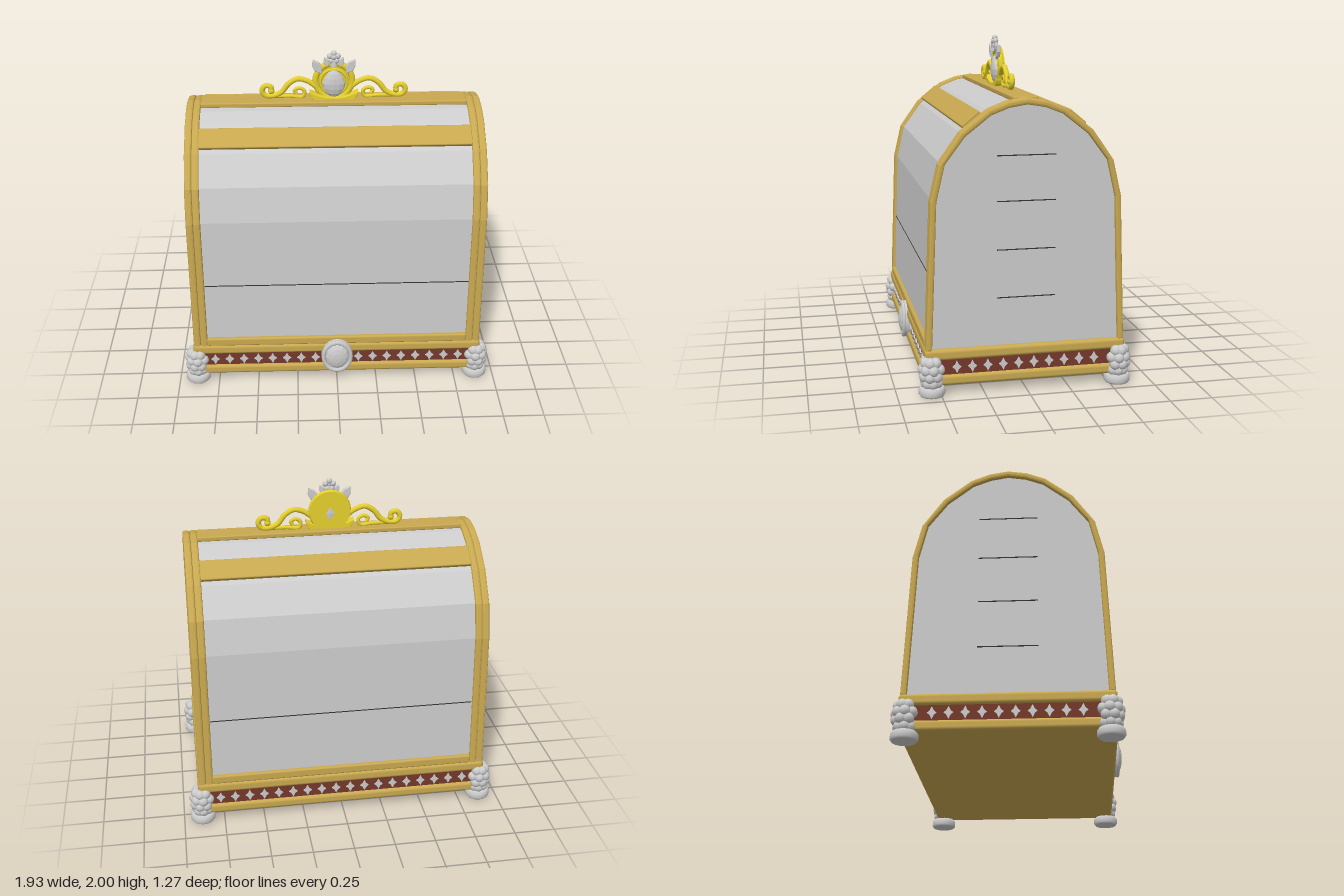
import * as THREE from 'three';
import { RoundedBoxGeometry } from 'three/addons/geometries/RoundedBoxGeometry.js';

const GREY = 0xcccccc, GOLD = 0xc8a850, YELLOW = 0xe6d02e, RED = 0x74382a, DARK = 0x333333;
const mat = (color, flatShading = false) =>
  new THREE.MeshStandardMaterial({ color, flatShading, side: THREE.DoubleSide });
const M = { grey: mat(GREY), facet: mat(GREY, true), gold: mat(GOLD, true), rail: mat(GOLD), yellow: mat(YELLOW), red: mat(RED), dark: mat(DARK) };

function add(parent, name, geo, material, x = 0, y = 0, z = 0) {
  const m = new THREE.Mesh(geo, material);
  m.name = name;
  m.position.set(x, y, z);
  parent.add(m);
  return m;
}

// Half of the domed outline as [z, y], pulled inward by d
const dome = (d) => [[0.585 - d, 0.26], [0.552 - d, 1.12], [0.503 - d, 1.33], [0.38 - d * 0.75, 1.505 - d * 0.65],
  [0.22 - d * 0.4, 1.63 - d * 0.9], [0.11 - d * 0.2, 1.673 - d], [0, 1.69 - d]];
function outline(d) {
  const half = dome(d);
  return [...half, ...half.slice(0, -1).reverse().map(([z, y]) => [-z, y])].map(([z, y]) => new THREE.Vector2(z, y));
}

// Extrude a z/y outline along x, centred on x = 0
function extrudeX(points, length, bevel = 0) {
  const geo = new THREE.ExtrudeGeometry(new THREE.Shape(points), {
    depth: length - 2 * bevel, bevelEnabled: bevel > 0, bevelSize: bevel, bevelThickness: bevel,
    bevelOffset: -bevel, bevelSegments: 2 });
  geo.translate(0, 0, -length / 2 + bevel);
  return geo.rotateY(Math.PI / 2);
}

function buildBody(root) {
  const body = new THREE.Group();
  body.name = 'body';
  root.add(body);
  add(body, 'domedPanels', extrudeX(outline(0.016), 1.75), M.facet);

  // Paired rounded arches at each end
  const arch = extrudeX([...outline(0), ...outline(0.036).reverse()], 0.044, 0.012);
  for (const x of [-0.877, -0.834, 0.834, 0.877]) add(body, 'endArch', arch, M.gold, x);

  // Long straps over the lid
  add(body, 'ridgeStrap', new RoundedBoxGeometry(1.63, 0.03, 0.145, 2, 0.008), M.rail, 0, 1.676, -0.005);
  for (const s of [-1, 1]) {
    const strap = add(body, 'lidStrap', new RoundedBoxGeometry(1.63, 0.03, 0.132, 2, 0.008), M.rail, 0, 1.566, s * 0.305);
    strap.rotation.x = s * 0.69;
    add(body, 'lowerRail', new RoundedBoxGeometry(1.63, 0.055, 0.05, 2, 0.012), M.rail, 0, 0.293, s * 0.564);
    const seam = add(body, 'panelSeam', new THREE.BoxGeometry(1.62, 0.006, 0.004), M.dark, 0, 0.69, s * 0.552);
    seam.rotation.x = -s * 0.04;
    for (const y of [0.55, 0.83, 1.11, 1.37])
      add(body, 'endSeam', new THREE.BoxGeometry(0.004, 0.006, 0.34), M.dark, s * 0.875, y);
  }
}

function buildBase(root) {
  const base = new THREE.Group();
  base.name = 'base';
  root.add(base);
  add(base, 'bottomRail', new RoundedBoxGeometry(1.81, 0.062, 1.185, 3, 0.02), M.rail, 0, 0.086);
  add(base, 'topRail', new RoundedBoxGeometry(1.81, 0.065, 1.185, 3, 0.02), M.rail, 0, 0.237);
  add(base, 'redBand', new THREE.BoxGeometry(1.775, 0.1, 1.15), M.red, 0, 0.16);

  // Four-pointed stars along the band
  const pts = [];
  for (let i = 0; i < 8; i++) {
    const a = i * Math.PI / 4, r = i % 2 ? 0.017 : (i % 4 ? 0.037 : 0.027);
    pts.push(new THREE.Vector2(r * Math.cos(a), r * Math.sin(a)));
  }
  const star = new THREE.ExtrudeGeometry(new THREE.Shape(pts), { depth: 0.008, bevelEnabled: false });
  for (let side = 0; side < 4; side++) {
    const long = side % 2 === 0, n = long ? 18 : 10;
    const row = new THREE.Group();
    row.name = 'starRow';
    row.rotation.y = side * Math.PI / 2;
    base.add(row);
    for (let i = 0; i < n; i++) {
      const x = (i - (n - 1) / 2) * 0.0905;
      if (side === 0 && Math.abs(x) < 0.08) continue;
      add(row, 'star', star, M.facet, x, 0.16, long ? 0.574 : 0.886);
    }
  }

  // Feet with bead clusters wrapped around the corners
  const footProfile = [[0, 0], [0.068, 0], [0.077, 0.012], [0.077, 0.04], [0.066, 0.054], [0, 0.056]];
  const foot = new THREE.LatheGeometry(footProfile.map(([r, y]) => new THREE.Vector2(r, y)), 18);
  const bead = new THREE.SphereGeometry(0.034, 10, 8);
  for (const sx of [-1, 1]) for (const sz of [-1, 1]) {
    const corner = new THREE.Group();
    corner.name = 'cornerFoot';
    corner.position.set(sx * 0.883, 0, sz * 0.552);
    base.add(corner);
    add(corner, 'footPad', foot, M.grey);
    for (let row = 0; row < 4; row++) {
      const n = row % 2 ? 4 : 5, r = [0.034, 0.045, 0.047, 0.036][row];
      for (let i = 0; i < n; i++) {
        const a = Math.PI / 4 + (i - (n - 1) / 2) * 0.88;
        add(corner, 'bead', bead, M.grey, sx * r * Math.cos(a), 0.078 + row * 0.04, sz * r * Math.sin(a));
      }
    }
  }
}

// Oval front plate with a raised rim and a faceted stone
function buildMedallion(root) {
  const medal = new THREE.Group();
  medal.name = 'frontMedallion';
  medal.position.set(0, 0.185, 0.58);
  medal.scale.set(1, 1.22, 1);
  root.add(medal);
  add(medal, 'plate', new THREE.CylinderGeometry(0.094, 0.1, 0.035, 24).rotateX(Math.PI / 2), M.grey, 0, 0, 0.012);
  add(medal, 'rim', new THREE.TorusGeometry(0.086, 0.013, 8, 24), M.grey, 0, 0, 0.03);
  add(medal, 'stone', new THREE.SphereGeometry(1, 12, 8).rotateX(Math.PI / 2).scale(0.076, 0.076, 0.033), M.facet, 0, 0, 0.027);
}

function tube(points, radius) {
  const curve = new THREE.CatmullRomCurve3(points.map(([x, y]) => new THREE.Vector3(x, y, 0)));
  return new THREE.TubeGeometry(curve, 40, radius, 8, false);
}

function buildCrest(root) {
  const crest = new THREE.Group();
  crest.name = 'crest';
  crest.position.z = -0.012;
  root.add(crest);

  // Round setting
  add(crest, 'settingDisc', new THREE.CylinderGeometry(0.125, 0.125, 0.025, 28).rotateX(Math.PI / 2), M.yellow, 0, 1.8, -0.012);
  add(crest, 'settingRing', new THREE.TorusGeometry(0.112, 0.02, 10, 32), M.yellow, 0, 1.8, -0.004);
  add(crest, 'innerRing', new THREE.TorusGeometry(0.082, 0.009, 8, 28), M.yellow, 0, 1.793, 0.006);

  // Pear-shaped stone, tapered toward the top
  const gem = new THREE.SphereGeometry(1, 12, 8);
  const p = gem.attributes.position;
  for (let i = 0; i < p.count; i++) {
    const t = Math.max(0, p.getY(i));
    p.setX(i, p.getX(i) * (1 - 0.35 * t));
  }
  gem.scale(0.072, 0.09, 0.034);
  gem.computeVertexNormals();
  add(crest, 'gem', gem, M.facet, 0, 1.787, 0.006);

  // Scooped foot below the setting
  const scoop = new THREE.Shape();
  scoop.moveTo(-0.145, 1.735);
  scoop.quadraticCurveTo(0, 1.66, 0.145, 1.735);
  scoop.quadraticCurveTo(0.13, 1.685, 0.1, 1.68);
  scoop.lineTo(-0.1, 1.68);
  scoop.quadraticCurveTo(-0.13, 1.685, -0.145, 1.735);
  add(crest, 'foot', new THREE.ExtrudeGeometry(scoop, { depth: 0.05, bevelEnabled: true, bevelSize: 0.005, bevelThickness: 0.005, bevelSegments: 2 }), M.yellow, 0, 0, -0.015);

  // Mirrored scrolls
  const outer = tube([[0.11, 1.765], [0.16, 1.8], [0.22, 1.815], [0.275, 1.785], [0.32, 1.73], [0.37, 1.707], [0.42, 1.71],
    [0.44, 1.74], [0.42, 1.772], [0.385, 1.765], [0.383, 1.738]], 0.017);
  const inner = tube([[0.36, 1.703], [0.27, 1.703], [0.19, 1.7], [0.18, 1.735], [0.21, 1.755], [0.24, 1.74], [0.23, 1.718]], 0.012);
  const leafShape = new THREE.Shape([[0, -0.045], [0.022, -0.01], [0.02, 0.02], [0, 0.05], [-0.02, 0.02], [-0.022, -0.01]].map(([x, y]) => new THREE.Vector2(x, y)));
  const leafGeo = new THREE.ExtrudeGeometry(leafShape, { depth: 0.014, bevelEnabled: true, bevelSize: 0.004, bevelThickness: 0.004, bevelSegments: 1 });
  for (const s of [-1, 1]) {
    const half = new THREE.Group();
    half.name = s > 0 ? 'leftScrolls' : 'rightScrolls';
    half.rotation.y = s > 0 ? 0 : Math.PI;
    crest.add(half);
    add(half, 'outerScroll', outer, M.yellow);
    add(half, 'innerScroll', inner, M.yellow);
    add(half, 'scrollTip', new THREE.SphereGeometry(0.02, 10, 8), M.yellow, 0.383, 1.738);
    const leaf = add(crest, 'leaf', leafGeo, M.facet, s * 0.1, 1.895, 0.008);
    leaf.rotation.z = -s * 0.55;
    const small = add(crest, 'smallLeaf', leafGeo, M.facet, s * 0.045, 1.925, 0.008);
    small.rotation.z = -s * 0.35;
    small.scale.set(0.6, 0.6, 1);
  }

  // Beaded finial
  add(crest, 'finialStem', new THREE.CylinderGeometry(0.014, 0.022, 0.05, 8), M.grey, 0, 1.925, 0.015);
  const bead = new THREE.SphereGeometry(0.018, 10, 8);
  add(crest, 'finialBead', bead, M.grey, 0, 1.96, 0.022);
  for (let i = 0; i < 5; i++) {
    const a = Math.PI / 2 + i * Math.PI * 0.4;
    add(crest, 'finialBead', bead, M.grey, 0.026 * Math.cos(a), 1.956 + 0.026 * Math.sin(a), 0.015);
  }
}

export function createModel() {
  const root = new THREE.Group();
  root.name = 'chest';
  buildBody(root);
  buildBase(root);
  buildMedallion(root);
  buildCrest(root);
  return root;
}
